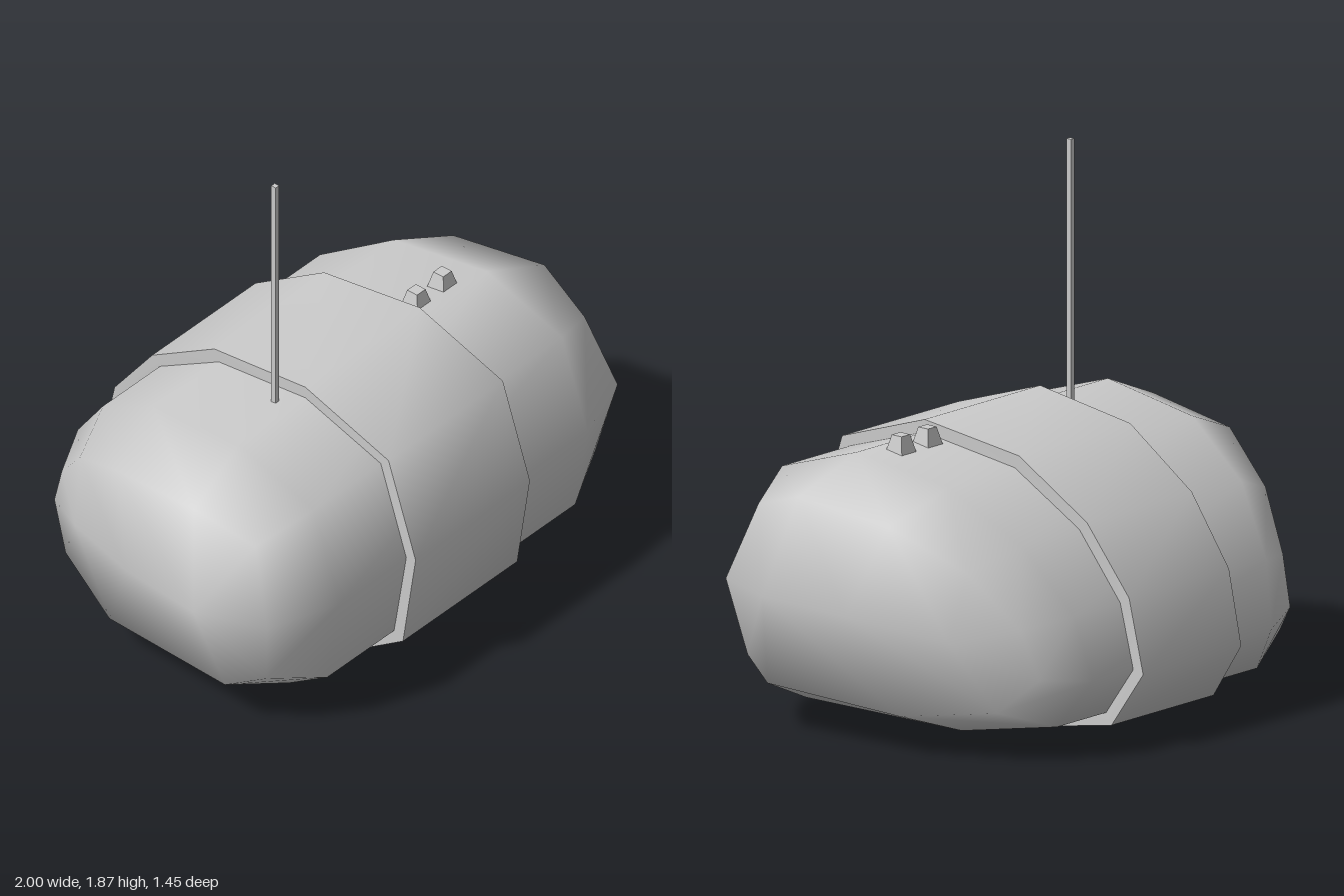
import * as THREE from 'three';
import { mergeVertices, toCreasedNormals } from 'three/addons/utils/BufferGeometryUtils.js';

const material = new THREE.MeshStandardMaterial({ color: 0xcccccc });

// Skin closed loops of [x, y, z] points, ordered from low x to high x.
function loft(loops) {
  const n = loops[0].length, index = [];
  for (let r = 0; r < loops.length - 1; r++) {
    for (let i = 0; i < n; i++) {
      const j = (i + 1) % n, a = r * n, b = a + n;
      index.push(a + i, b + i, b + j, a + i, b + j, a + j);
    }
  }
  const g = new THREE.BufferGeometry();
  g.setAttribute('position', new THREE.Float32BufferAttribute(loops.flat(2), 3));
  g.setIndex(index);
  return g;
}

const mirror = loop => loop.map(([x, y, z]) => [-x, y, z]);

function addMesh(parent, name, geometry, x = 0, y = 0, z = 0) {
  const mesh = new THREE.Mesh(geometry, material);
  mesh.name = name;
  mesh.position.set(x, y, z);
  parent.add(mesh);
  return mesh;
}

// Loops run top, back, bottom, front.
// Edge of the straight middle of the body
const shoulder = [
  [0.64, 0.955, 0.23], [0.62, 0.90, -0.17], [0.56, 0.73, -0.45], [0.49, 0.50, -0.625],
  [0.455, 0.275, -0.68], [0.51, 0.105, -0.565], [0.61, 0.05, -0.22], [0.64, 0.05, 0.46],
  [0.64, 0.16, 0.63], [0.64, 0.50, 0.685], [0.64, 0.845, 0.57],
];
// Rounded rim of each side
const rim = [
  [0.905, 0.845, 0.26], [0.87, 0.80, -0.12], [0.76, 0.66, -0.38], [0.67, 0.47, -0.54],
  [0.64, 0.30, -0.60], [0.72, 0.18, -0.48], [0.86, 0.14, -0.16], [0.905, 0.165, 0.40],
  [0.85, 0.23, 0.54], [0.905, 0.50, 0.59], [0.85, 0.77, 0.49],
];
// Ridge along the middle of each side, each rim point joins one of its points
const ridge = [[1, 0.5, 0.34], [0.955, 0.48, 0], [0.82, 0.42, -0.35]];
const sideRidge = [0, 1, 2, 2, 2, 2, 1, 0, 0, 0, 0].map(k => ridge[k]);

// Outer side profile of the band, as [z, y]
const bandProfile = [
  [0.23, 1.0], [-0.19, 0.945], [-0.485, 0.76], [-0.665, 0.525], [-0.725, 0.265], [-0.59, 0.065],
  [-0.23, 0], [0.47, 0], [0.67, 0.135], [0.727, 0.51], [0.605, 0.875],
];
// The band narrows toward the back
const bandHalfWidth = z => 0.295 - 0.045 * Math.pow(Math.max(0, (0.25 - z) / 0.975), 1.7);

export function createModel() {
  const model = new THREE.Group();
  model.name = 'roundedPod';

  // Smooth body
  const body = mergeVertices(loft([
    mirror(sideRidge), mirror(rim), mirror(shoulder), shoulder, rim, sideRidge,
  ]));
  body.computeVertexNormals();
  addMesh(model, 'body', body);

  // Raised band with sharp side edges
  const outer = bandProfile.map(([z, y]) => [bandHalfWidth(z), y, z]);
  const inner = shoulder.map(([, y, z], i) => [outer[i][0], 0.5 + (y - 0.5) * 0.97, z * 0.97]);
  addMesh(model, 'centreBand',
    toCreasedNormals(loft([mirror(inner), mirror(outer), outer, inner]), 1.1));

  // Antenna
  addMesh(model, 'antenna', new THREE.BoxGeometry(0.018, 0.945, 0.02), -0.367, 1.395, 0.157);

  // Two tapered buttons
  for (const [name, x] of [['innerButton', 0.362], ['outerButton', 0.497]]) {
    const stud = new THREE.CylinderGeometry(0.022 * Math.SQRT2, 0.038 * Math.SQRT2, 0.065, 4)
      .rotateY(Math.PI / 4);
    addMesh(model, name, toCreasedNormals(stud, 0.5), x, 0.9685, 0.157);
  }
  return model;
}
